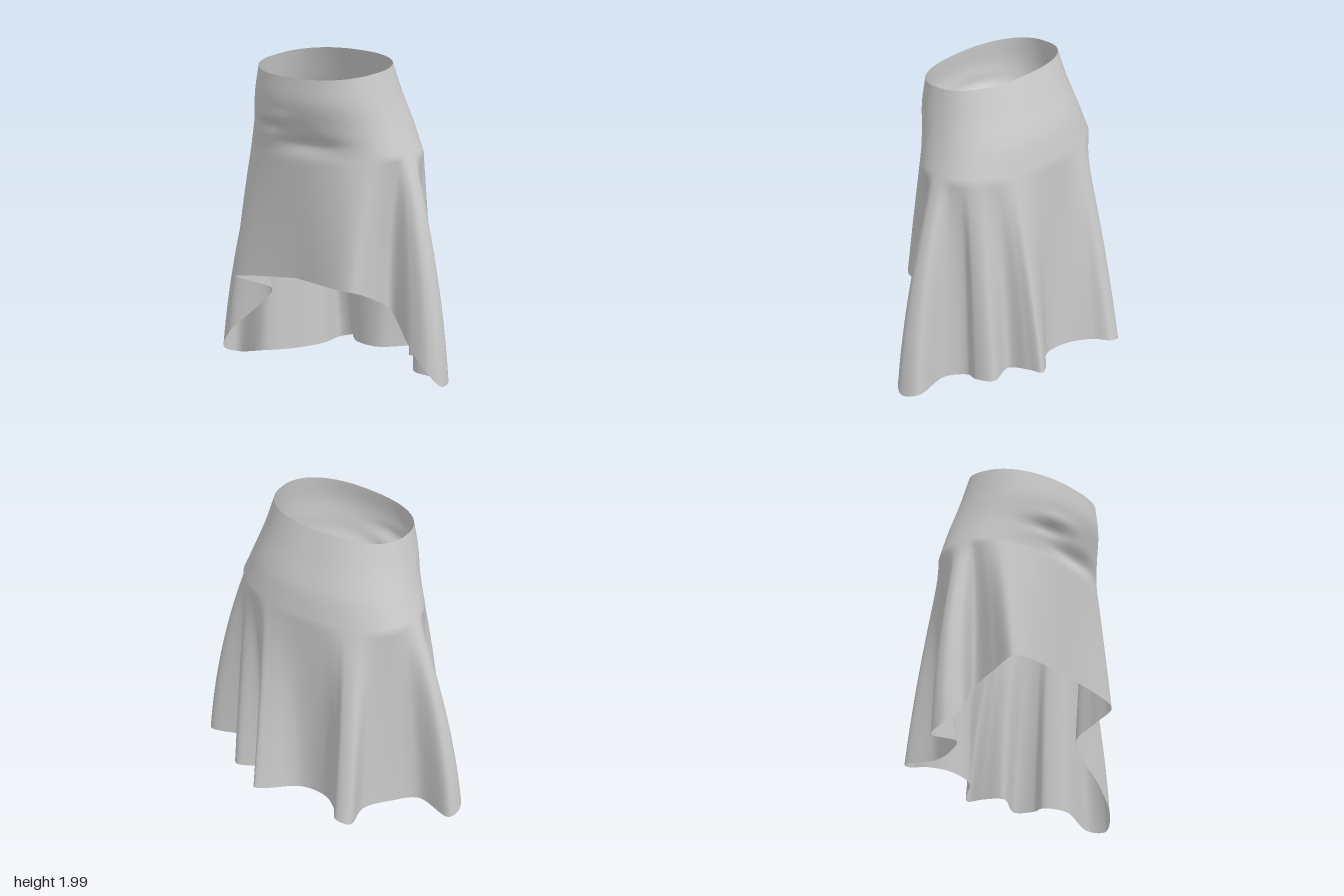
import * as THREE from 'three';

const COLS = 384, TOP_ROWS = 22, LOW_ROWS = 40, HIP_Y = 1.42;

// Hem path from front centre round by +x, back and -x: [x, y, z, hip angle in degrees]
const HEM = [
  [0, 0.635, 0.44, 0], [0.42, 0.6, 0.455, 42],
  [0.485, 0.59, 0.42, 54], [0.5, 0.54, 0.28, 68], [0.51, 0.46, 0.13, 79],
  [0.72, 0.23, 0.16, 85], [0.85, 0.09, 0.145, 88], [0.9, 0.01, 0.08, 91],
  [0.86, 0.025, -0.03, 95], [0.6, 0.055, -0.01, 104],
  [0.5, 0.07, -0.11, 113], [0.53, 0.085, -0.21, 121], [0.48, 0.09, -0.32, 129],
  [0.3, 0.1, -0.27, 142], [0.26, 0.12, -0.4, 150],
  [0.23, 0.12, -0.495, 156], [0.16, 0.12, -0.46, 162],
  [0, 0.11, -0.315, 179], [-0.18, 0.12, -0.32, 193], [-0.31, 0.13, -0.41, 202],
  [-0.38, 0.125, -0.495, 208], [-0.47, 0.105, -0.47, 215],
  [-0.435, 0.09, -0.26, 231], [-0.52, 0.07, -0.08, 247], [-0.64, 0.06, 0.05, 257],
  [-0.88, 0.025, 0.03, 268], [-0.9, 0.06, 0.13, 271],
  [-0.79, 0.18, 0.2, 275], [-0.52, 0.46, 0.1, 283],
  [-0.53, 0.53, 0.26, 293], [-0.545, 0.58, 0.41, 306],
  [-0.46, 0.6, 0.44, 318], [0, 0.635, 0.44, 360],
];

// Fitted part, waist to hip: [half width, back z, front z]
const BODY = new THREE.CatmullRomCurve3([
  [0.46, -0.155, 0.49], [0.5, -0.22, 0.5], [0.55, -0.285, 0.465], [0.61, -0.32, 0.435],
].map(p => new THREE.Vector3(...p)));

const hemCurve = new THREE.CatmullRomCurve3(HEM.map(p => new THREE.Vector3(p[0], p[1], p[2])));
const angleCurve = new THREE.CatmullRomCurve3(HEM.map(p => new THREE.Vector3(p[3], 0, 0)));

const soft = (v, n) => Math.sign(v) * Math.pow(Math.abs(v), 2 / n);
const bump = (x, y, cx, cy, w, h) => Math.exp(-(((x - cx) / w) ** 2) - ((y - cy) / h) ** 2);

function bodyPoint(phi, u) {
  const [w, back, front] = BODY.getPoint(u).toArray();
  const n = 2.3, mid = (front + back) / 2, depth = (front - back) / 2;
  const waistY = 1.952 - 0.048 * Math.cos(phi);
  return new THREE.Vector3(
    w * soft(Math.sin(phi), n),
    THREE.MathUtils.lerp(waistY, HIP_Y, u),
    mid + depth * soft(Math.cos(phi), n));
}

function skirtPoint(c, row) {
  const s = c / COLS;
  const phi = THREE.MathUtils.degToRad(angleCurve.getPoint(s).x);
  let p;
  if (row <= TOP_ROWS) {
    p = bodyPoint(phi, row / TOP_ROWS);
  } else {
    // The flared part swings quickly outward, then hangs down to the hem
    const t = (row - TOP_ROWS) / LOW_ROWS;
    const hip = bodyPoint(phi, 1), hem = hemCurve.getPoint(s);
    p = new THREE.Vector3(
      THREE.MathUtils.lerp(hip.x, hem.x, t + 0.7 * t * (1 - t)),
      THREE.MathUtils.lerp(hip.y, hem.y, t),
      THREE.MathUtils.lerp(hip.z, hem.z, t + 0.15 * t * (1 - t)));
  }
  // Creases across the front
  if (Math.cos(phi) > 0) {
    p.z -= 0.035 * bump(p.x, p.y, 0.08, 1.48, 0.26, 0.05)
         + 0.022 * bump(p.x, p.y, -0.2, 1.57, 0.16, 0.035)
         - 0.015 * bump(p.x, p.y, -0.16, 1.64, 0.18, 0.04);
  }
  return p;
}

export function createModel() {
  const positions = [], index = [], rows = TOP_ROWS + LOW_ROWS;
  for (let r = 0; r <= rows; r++) {
    for (let c = 0; c < COLS; c++) positions.push(...skirtPoint(c, r).toArray());
  }
  for (let r = 0; r < rows; r++) {
    for (let c = 0; c < COLS; c++) {
      const n = (c + 1) % COLS;
      const a = r * COLS + c, b = a + COLS, d = r * COLS + n, e = d + COLS;
      index.push(a, b, d, b, e, d);
    }
  }
  const geometry = new THREE.BufferGeometry();
  geometry.setAttribute('position', new THREE.Float32BufferAttribute(positions, 3));
  geometry.setIndex(index);
  geometry.computeVertexNormals();

  const skirt = new THREE.Mesh(geometry,
    new THREE.MeshStandardMaterial({ color: 0xcccccc, side: THREE.DoubleSide }));
  skirt.name = 'skirt';
  const group = new THREE.Group();
  group.name = 'drapedSkirt';
  group.add(skirt);
  return group;
}
